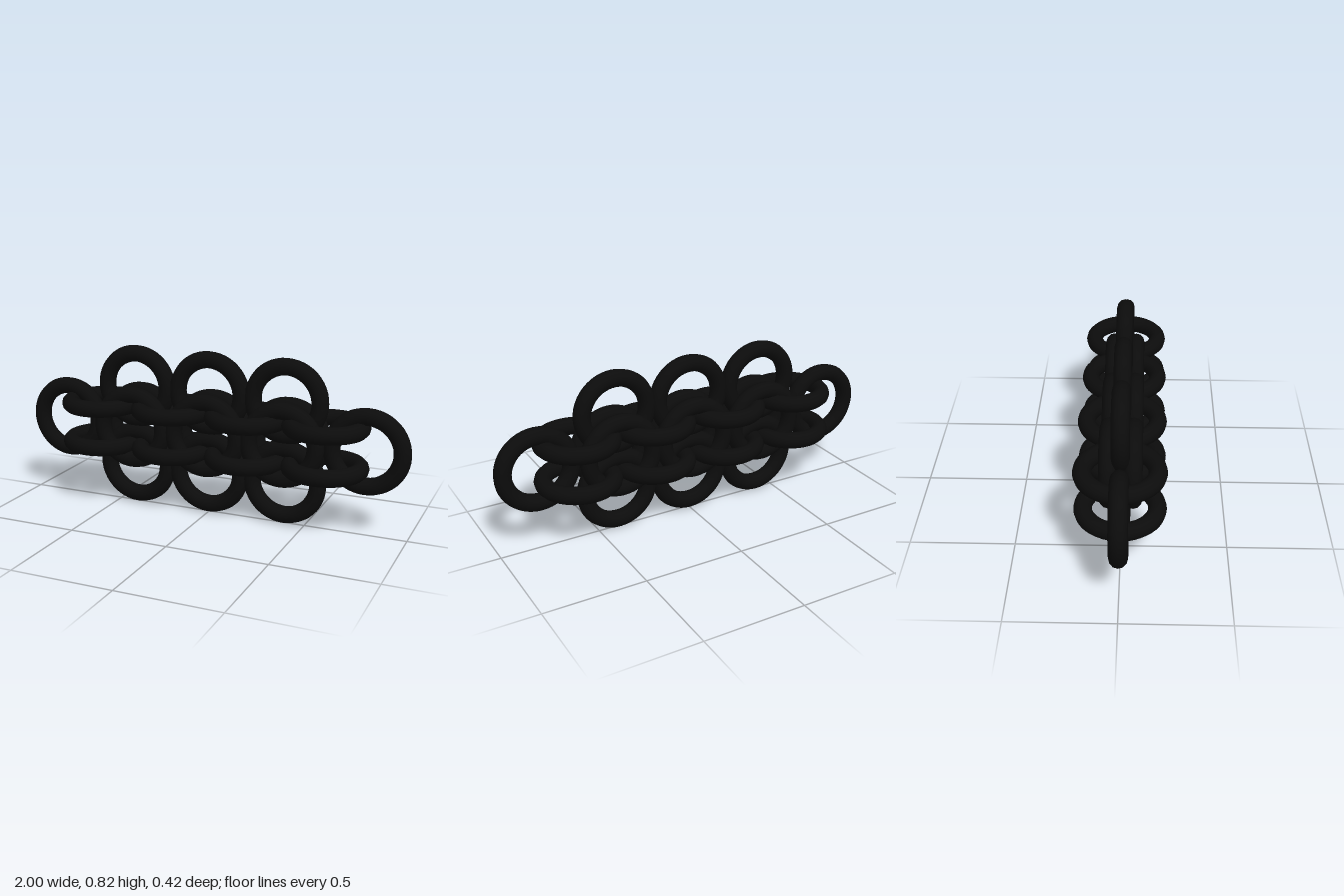
import * as THREE from 'three';

export function createModel() {
  const model = new THREE.Group();
  model.name = 'chainWeave';

  const material = new THREE.MeshStandardMaterial({ color: 0x0c0c0c });
  const ringGeometry = new THREE.TorusGeometry(0.167, 0.042, 12, 48);
  const midY = 0.409;

  // One link; flat links lie in the horizontal plane
  const addRing = (name, x, y, z, flat = false) => {
    const ring = new THREE.Mesh(ringGeometry, material);
    ring.name = name;
    ring.position.set(x, y, z);
    if (flat) ring.rotation.x = Math.PI / 2;
    model.add(ring);
  };

  // Single upright links closing both ends
  for (const side of [-1, 1]) addRing('endRing', side * 0.791, midY, 0);

  // Upright links in three columns: edge links above and below, paired links in the middle
  for (const x of [-0.395, 0, 0.395]) {
    addRing('upperRing', x, midY + 0.2, 0);
    addRing('lowerRing', x, midY - 0.2, 0);
    addRing('frontCentreRing', x, midY, 0.057);
    addRing('backCentreRing', x, midY, -0.057);
  }

  // Two rows of horizontal connecting links
  for (const x of [-0.593, -0.198, 0.198, 0.593]) {
    addRing('upperConnectorRing', x, midY + 0.1, 0, true);
    addRing('lowerConnectorRing', x, midY - 0.1, 0, true);
  }

  return model;
}
